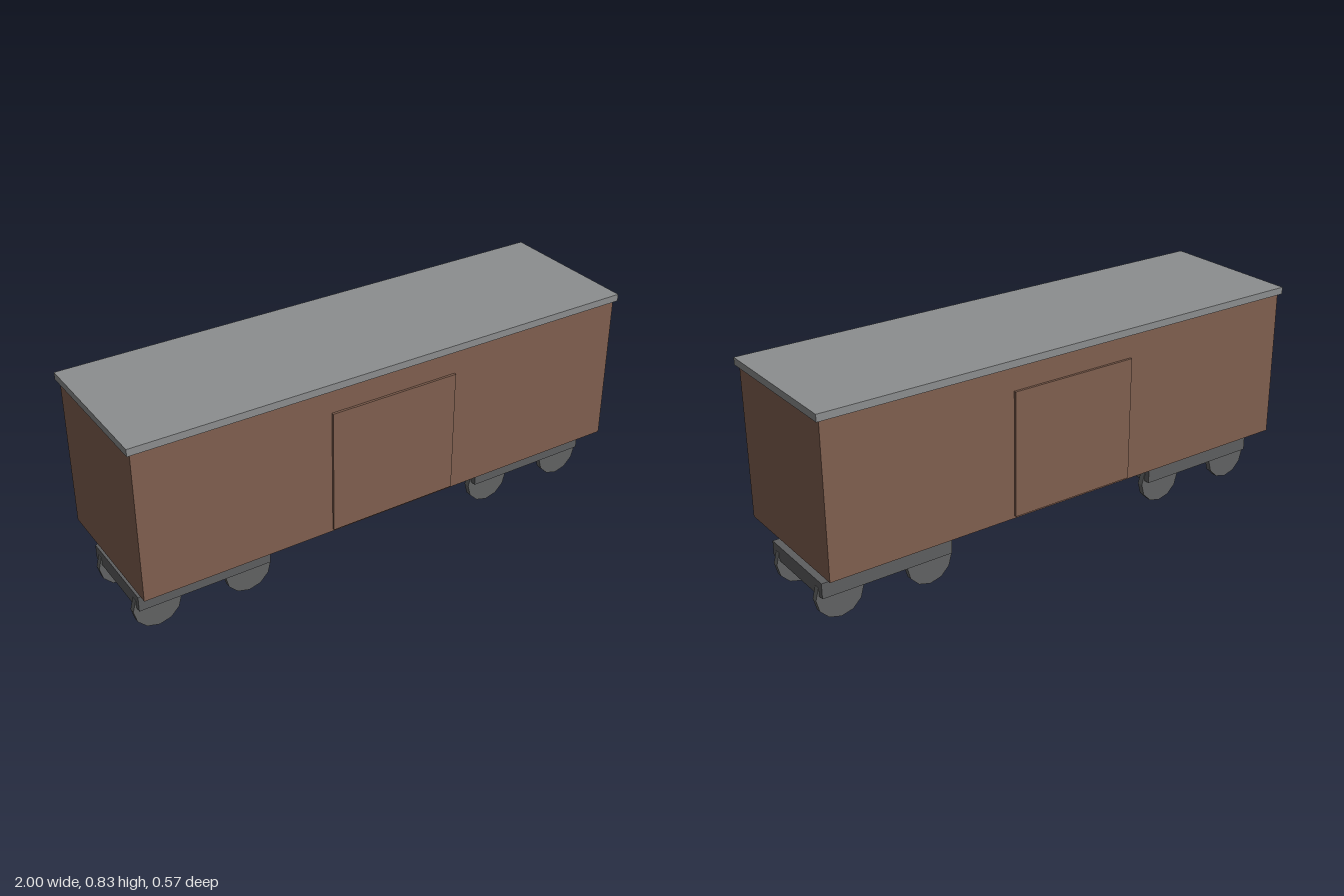
import * as THREE from 'three';

const material = (name, color) => {
  const m = new THREE.MeshStandardMaterial({ color });
  m.name = name;
  return m;
};

export function createModel() {
  const brown = material('body brown', 0x805f4f);
  const roofGrey = material('roof grey', 0x8c8e8f);
  const frameGrey = material('frame grey', 0x5d5e5f);
  const wheelGrey = material('wheel grey', 0x616263);

  const model = new THREE.Group();
  model.name = 'boxcar';

  // Box from its size, centre x and z, and bottom and top heights
  const addBox = (parent, name, mat, width, depth, y0, y1, x = 0, z = 0) => {
    const mesh = new THREE.Mesh(new THREE.BoxGeometry(width, y1 - y0, depth), mat);
    mesh.name = name;
    mesh.position.set(x, (y0 + y1) / 2, z);
    parent.add(mesh);
  };

  addBox(model, 'body', brown, 1.974, 0.554, 0.225, 0.8);
  addBox(model, 'roof', roofGrey, 2, 0.575, 0.8, 0.827);

  // Sliding doors on both long sides
  for (const side of [1, -1]) {
    addBox(model, side > 0 ? 'frontDoor' : 'backDoor', brown, 0.51, 0.018, 0.235, 0.71, 0, side * 0.277);
  }

  // Twelve-sided wheel, standing on a corner
  const radius = 0.0915;
  const wheelGeometry = new THREE.CylinderGeometry(radius, radius, 0.023, 12).toNonIndexed();
  wheelGeometry.rotateX(Math.PI / 2);
  wheelGeometry.computeVertexNormals();

  // Two trucks, each a slab with four wheels
  for (const end of [1, -1]) {
    const truck = new THREE.Group();
    truck.name = end > 0 ? 'leftTruck' : 'rightTruck';
    truck.position.x = end * 0.7125;
    addBox(truck, 'truckFrame', frameGrey, 0.513, 0.356, 0.107, 0.166);
    for (const x of [-0.178, 0.178]) {
      for (const z of [-0.143, 0.143]) {
        const wheel = new THREE.Mesh(wheelGeometry, wheelGrey);
        wheel.name = 'wheel';
        wheel.position.set(x, radius, z);
        truck.add(wheel);
      }
    }
    model.add(truck);
  }
  return model;
}
